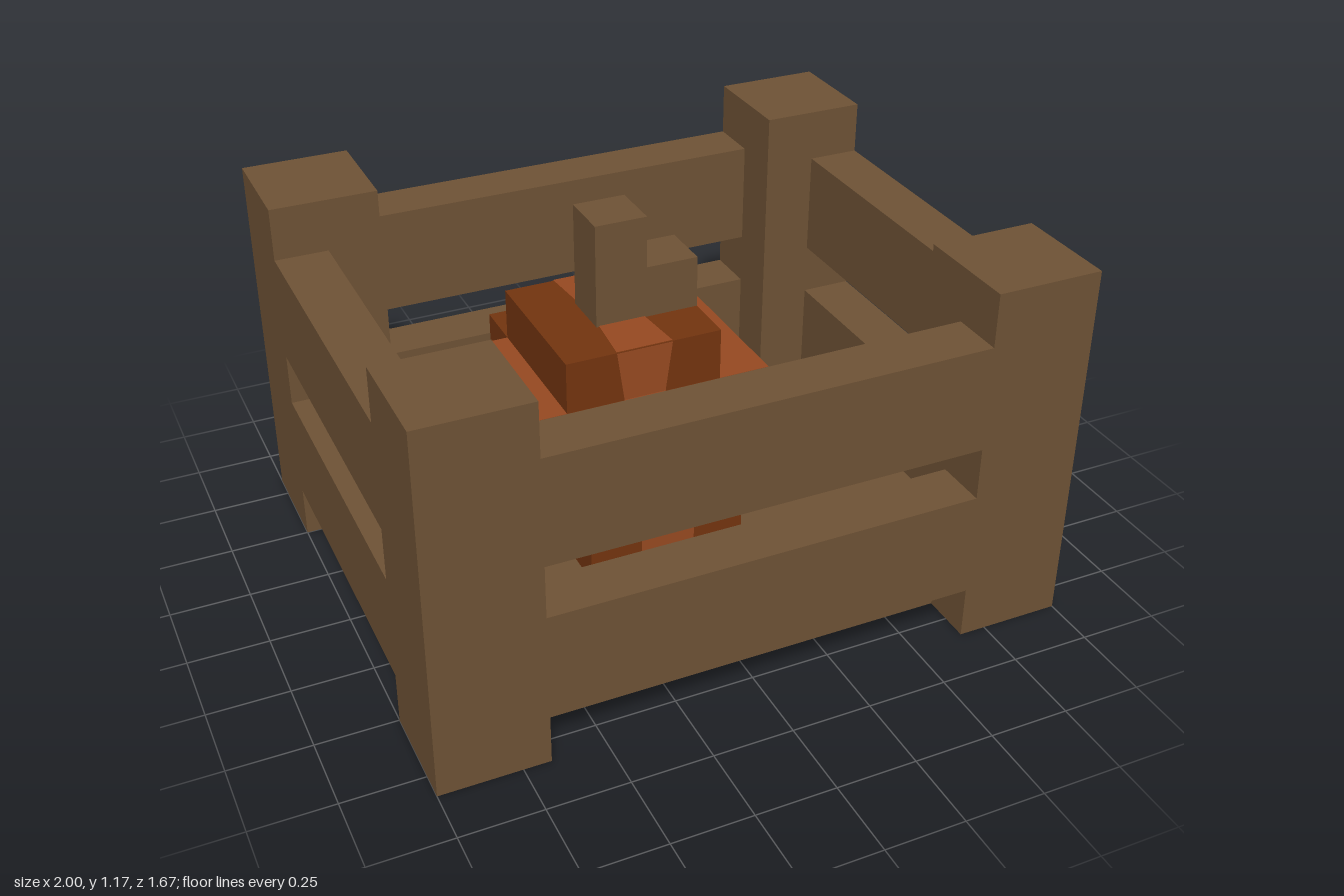
import * as THREE from 'three';

const U = 1 / 6; // modelling grid step

export function createModel() {
  const model = new THREE.Group();
  const mat = (name, color, side = THREE.FrontSide) => {
    const m = new THREE.MeshStandardMaterial({ color, side });
    m.name = name;
    return m;
  };
  const wood = mat('brown wood', 0x6e5235);
  const darkRind = mat('dark orange rind', 0x73340f);
  const rind = mat('orange rind', 0x964921, THREE.DoubleSide);

  // Box from its limits in grid steps
  const box = (parent, name, material, [x0, x1], [y0, y1], [z0, z1]) => {
    const mesh = new THREE.Mesh(
      new THREE.BoxGeometry((x1 - x0) * U, (y1 - y0) * U, (z1 - z0) * U), material);
    mesh.position.set((x0 + x1) / 2 * U, (y0 + y1) / 2 * U, (z0 + z1) / 2 * U);
    mesh.name = name;
    parent.add(mesh);
  };
  const span = (s, a, b) => (s > 0 ? [a, b] : [-b, -a]);

  // Crate: floor, corner posts and two planks on each side
  const crate = new THREE.Group();
  crate.name = 'crate';
  model.add(crate);
  box(crate, 'floor', wood, [-5, 5], [0, 1], [-4, 4]);
  for (const s of [1, -1]) {
    for (const t of [1, -1]) box(crate, 'cornerPost', wood, span(s, 4, 6), [0, 7], span(t, 3, 5));
    for (const [y0, y1] of [[1, 3], [4, 6]]) {
      box(crate, s > 0 ? 'frontPlank' : 'backPlank', wood, [-4, 4], [y0, y1], span(s, 4, 5));
      box(crate, s > 0 ? 'leftPlank' : 'rightPlank', wood, span(s, 5, 6), [y0, y1], [-3, 3]);
    }
  }

  // Pumpkin: a blocky cross around a taller core
  const pumpkin = new THREE.Group();
  pumpkin.name = 'pumpkin';
  pumpkin.position.set(-U / 2, 0, -U / 2);
  model.add(pumpkin);
  box(pumpkin, 'core', darkRind, [-1.5, 1.5], [1, 5], [-1.5, 1.5]);
  for (const s of [1, -1]) {
    box(pumpkin, 'sideLobe', rind, span(s, 1.5, 2.5), [1, 4], [-1.5, 1.5]);
    box(pumpkin, s > 0 ? 'frontLobe' : 'backLobe', darkRind, [-1.5, 1.5], [1, 4], span(s, 1.5, 2.5));
  }

  // Painted middle stripes: each runs between two (half width, y, z) edges
  const stripe = (a, b) => {
    const corners = [[-a[0], a[1], a[2]], [a[0], a[1], a[2]], [-b[0], b[1], b[2]], [b[0], b[1], b[2]]];
    const g = new THREE.PlaneGeometry(1, 1);
    corners.forEach((c, i) => g.attributes.position.setXYZ(i, c[0] * U, c[1] * U, c[2] * U));
    g.computeVertexNormals();
    const mesh = new THREE.Mesh(g, rind);
    mesh.name = 'stripe';
    return mesh;
  };
  const e = 0.02;
  for (const turn of [0, Math.PI]) {
    const half = new THREE.Group();
    half.name = turn ? 'backStripes' : 'frontStripes';
    half.rotation.y = turn;
    half.add(
      stripe([0.5, 5 + e, 0], [0.45, 5 + e, 0.5]),
      stripe([0.45, 5 + e, 0.5], [0.54, 5 + e, 1.5]),
      stripe([0.54, 5, 1.5 + e], [0.4, 4, 1.5 + e]),
      stripe([0.4, 4 + e, 1.5], [0.5, 4 + e, 2.5]),
      stripe([0.52, 4, 2.5 + e], [0.52, 1, 2.5 + e]));
    pumpkin.add(half);
  }

  // Stem: a tall block with a short step beside it
  box(pumpkin, 'stem', wood, [-0.5, 0.5], [5, 7], [-0.5, 0.5]);
  box(pumpkin, 'stemStep', wood, [0.5, 1.5], [5, 6], [-0.5, 0.5]);

  return model;
}
